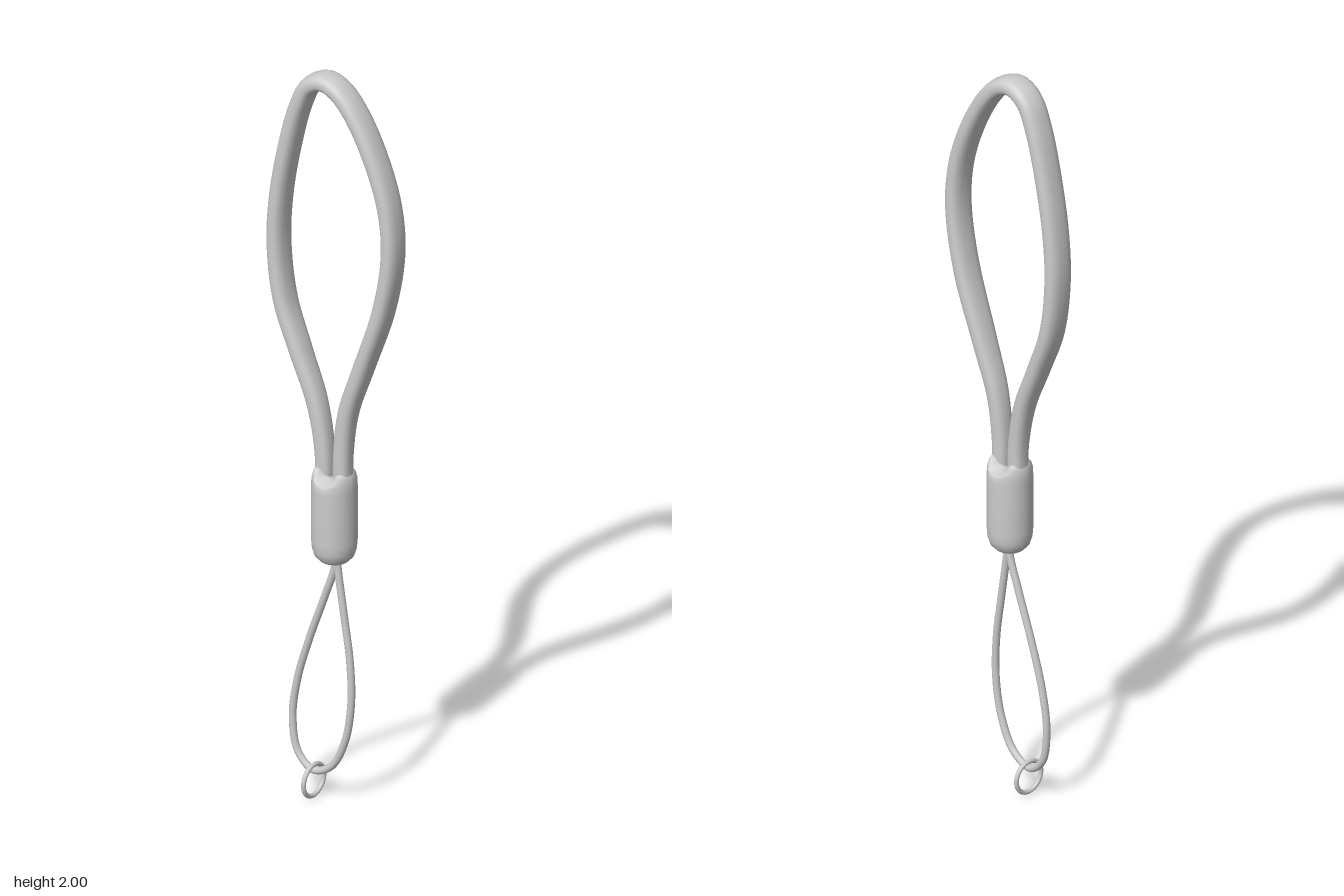
import * as THREE from 'three';

const material = new THREE.MeshStandardMaterial({ color: 0xcccccc });

function part(name, geometry) {
  const mesh = new THREE.Mesh(geometry, material);
  mesh.name = name;
  return mesh;
}

// Smooth curve through [z, y] points, x given by a rule of height
const curveFrom = (points, xAt) =>
  new THREE.CatmullRomCurve3(points.map(([z, y]) => new THREE.Vector3(xAt(y), y, z)));

// Flattened strap: a rounded section swept along the loop, wide in x, thin in the loop's plane
function strapGeometry(curve, steps = 160, sides = 24) {
  const positions = [], indices = [];
  const power = c => Math.sign(c) * Math.abs(c) ** 0.8;
  for (let i = 0; i <= steps; i++) {
    const p = curve.getPointAt(i / steps);
    const t = curve.getTangentAt(i / steps);
    const normal = new THREE.Vector3(0, -t.z, t.y).normalize();
    const halfWidth = THREE.MathUtils.lerp(0.024, 0.036, THREE.MathUtils.smoothstep(p.y, 0.88, 1.4));
    for (let j = 0; j < sides; j++) {
      const a = (j / sides) * Math.PI * 2;
      const n = power(Math.sin(a)) * 0.023;
      positions.push(p.x + power(Math.cos(a)) * halfWidth, p.y + normal.y * n, p.z + normal.z * n);
      if (i < steps) {
        const k = (j + 1) % sides;
        const q = i * sides + j, r = i * sides + k;
        indices.push(q, q + sides, r, r, q + sides, r + sides);
      }
    }
  }
  const geometry = new THREE.BufferGeometry();
  geometry.setAttribute('position', new THREE.Float32BufferAttribute(positions, 3));
  geometry.setIndex(indices);
  geometry.computeVertexNormals();
  return geometry;
}

// Sleeve: round-bottomed cylinder whose top slopes down to both sides and dips in the middle
function sleeveGeometry() {
  const profile = [
    [0, 0.667], [0.02, 0.668], [0.037, 0.673], [0.049, 0.686], [0.055, 0.705], [0.057, 0.73],
    [0.057, 0.8], [0.057, 0.87], [0.056, 0.895], [0.052, 0.911], [0.046, 0.922],
    [0.033, 0.93], [0.022, 0.933], [0.011, 0.933], [0, 0.933],
  ].map(([r, y]) => new THREE.Vector2(r, y));
  const geometry = new THREE.LatheGeometry(profile, 48);
  const pos = geometry.attributes.position;
  for (let i = 0; i < pos.count; i++) {
    const x = pos.getX(i), y = pos.getY(i), z = pos.getZ(i);
    if (y < 0.88) continue;
    const slope = 0.935 - Math.max(0, Math.abs(x) - 0.02) * 1.4;
    const dip = 0.035 * Math.max(0, 1 - (z / 0.03) ** 2) * Math.max(0, 1 - (x / 0.05) ** 2);
    pos.setY(i, Math.min(y, slope) - dip);
  }
  geometry.computeVertexNormals();
  return geometry;
}

export function createModel() {
  const model = new THREE.Group();
  model.name = 'wristStrap';

  // Wrist loop, both ends buried in the sleeve
  const strapPath = curveFrom([
    [0.027, 0.84], [0.027, 0.97], [0.042, 1.09], [0.085, 1.22], [0.145, 1.4], [0.172, 1.56],
    [0.163, 1.68], [0.124, 1.8], [0.064, 1.91], [0.015, 1.962], [-0.03, 1.977], [-0.073, 1.955],
    [-0.106, 1.89], [-0.141, 1.76], [-0.166, 1.62], [-0.173, 1.49], [-0.153, 1.34],
    [-0.103, 1.21], [-0.054, 1.09], [-0.03, 0.97], [-0.028, 0.84],
  ], y => 0.007 * THREE.MathUtils.smoothstep(y, 0.9, 1.5));
  model.add(part('wristLoop', strapGeometry(strapPath)));

  model.add(part('sleeve', sleeveGeometry()));

  // Thin cord loop hanging below the sleeve
  const cordPath = curveFrom([
    [0.006, 0.71], [0.011, 0.65], [0.03, 0.53], [0.05, 0.4], [0.054, 0.29], [0.036, 0.18],
    [-0.005, 0.1], [-0.06, 0.074], [-0.105, 0.11], [-0.122, 0.2], [-0.108, 0.31],
    [-0.07, 0.44], [-0.028, 0.56], [0.001, 0.65], [0.004, 0.71],
  ], y => -0.008 + 0.008 * y / 0.7);
  model.add(part('cordLoop', new THREE.TubeGeometry(cordPath, 140, 0.0095, 12)));

  // Small ring threaded on the cord
  const ring = part('ring', new THREE.TorusGeometry(0.0415, 0.006, 12, 48));
  ring.position.set(-0.009, 0.0475, -0.056);
  model.add(ring);

  return model;
}
